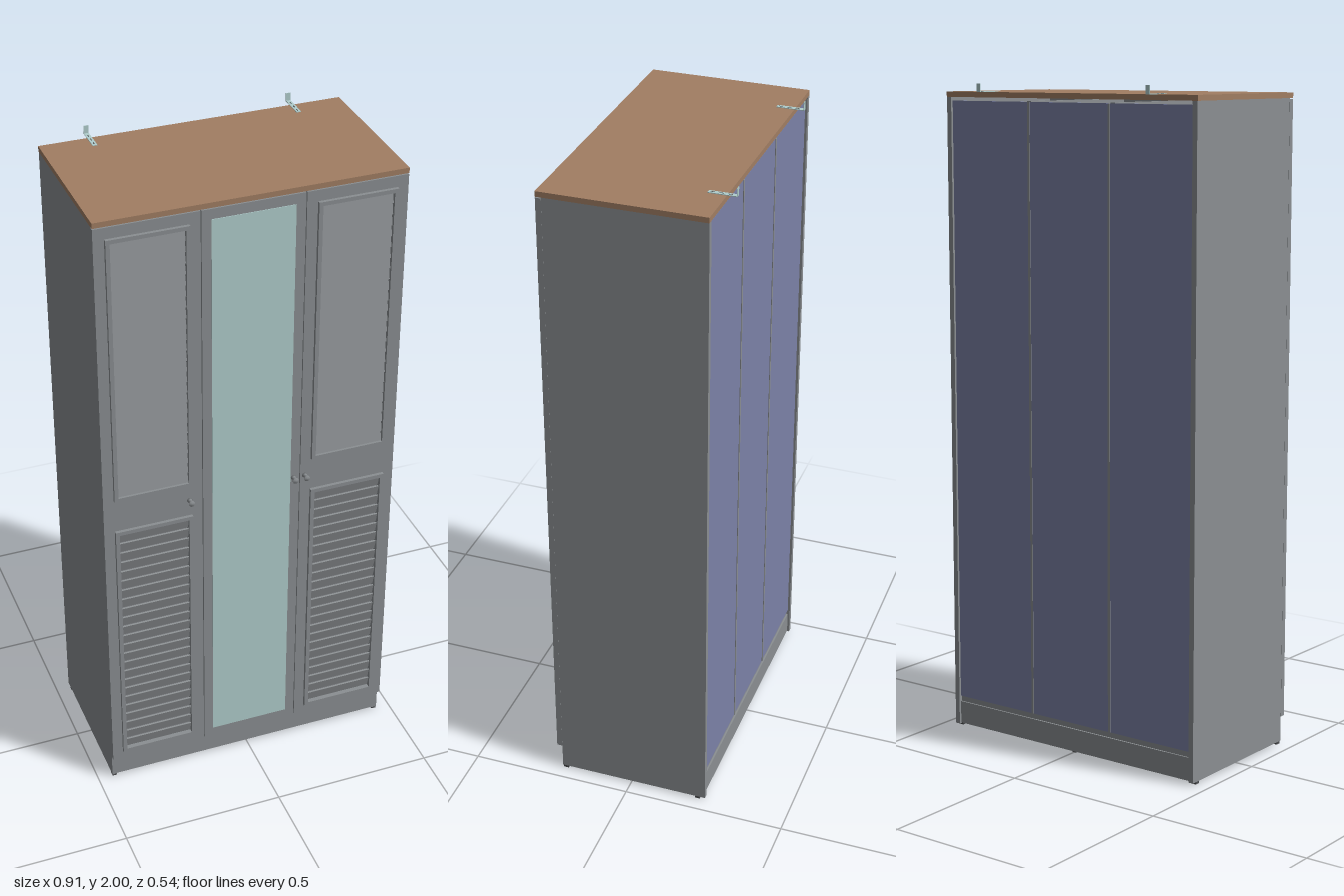
import * as THREE from 'three';

const mat = (name, color, extra = {}) => {
  const m = new THREE.MeshStandardMaterial({ color, ...extra });
  m.name = name;
  return m;
};

export function createModel() {
  const grey = mat('grey paint', 0x8b8f92);
  const brown = mat('brown wood', 0xa17e63);
  const mirror = mat('pale mirror', 0xb0cdcc);
  const blue = mat('blue back board', 0x7c82a8);
  const dark = mat('dark plastic', 0x4a4c4e);

  const root = new THREE.Group();
  root.name = 'wardrobe';

  const add = (name, geo, material, parent = root) => {
    const m = new THREE.Mesh(geo, material);
    m.name = name;
    parent.add(m);
    return m;
  };
  // Box given by its lower and upper limits on each axis
  const box = (name, material, x0, x1, y0, y1, z0, z1, parent = root) => {
    const m = add(name, new THREE.BoxGeometry(x1 - x0, y1 - y0, z1 - z0), material, parent);
    m.position.set((x0 + x1) / 2, (y0 + y1) / 2, (z0 + z1) / 2);
    return m;
  };
  // Rectangle with rectangular holes, extruded along z
  const rect = (Type, x0, x1, y0, y1) => {
    const p = new Type();
    p.moveTo(x0, y0).lineTo(x1, y0).lineTo(x1, y1).lineTo(x0, y1).closePath();
    return p;
  };
  const panel = (name, outer, holes, z0, z1, parent) => {
    const s = rect(THREE.Shape, ...outer);
    s.holes = holes.map(h => rect(THREE.Path, ...h));
    const geo = new THREE.ExtrudeGeometry(s, { depth: z1 - z0, bevelEnabled: false });
    const m = add(name, geo, grey, parent);
    m.position.z = z0;
    return m;
  };

  // Carcass
  for (const s of [-1, 1]) {
    const x = s * 0.447;
    box('sidePanel', grey, x - 0.008, x + 0.008, 0.008, 1.959, -0.242, 0.228);
    box('innerDivider', grey, s * 0.152 - 0.008, s * 0.152 + 0.008, 0.095, 1.95, -0.225, 0.226);
  }
  box('topPanel', brown, -0.456, 0.456, 1.959, 1.975, -0.242, 0.245);
  box('bottomPanel', grey, -0.439, 0.439, 0.08, 0.096, -0.23, 0.228);

  // Back boards and their joining strips
  for (const i of [-1, 0, 1]) {
    const c = i * 0.293;
    box('backBoard', blue, c - 0.146, c + 0.146, 0.098, 1.948, -0.235, -0.229);
  }
  for (const s of [-1, 1])
    box('backJoiningStrip', grey, s * 0.1465 - 0.004, s * 0.1465 + 0.004, 0.098, 1.948, -0.237, -0.229);

  // Plinth rails, middle strut and feet
  box('frontPlinth', grey, -0.439, 0.439, 0.01, 0.08, 0.212, 0.228);
  box('backPlinth', grey, -0.439, 0.439, 0.01, 0.08, -0.235, -0.219);
  box('middleStrut', grey, -0.008, 0.008, 0.01, 0.08, -0.219, 0.212);
  for (const sz of [-1, 1]) {
    for (const sx of [-1, 1]) {
      box('cornerBracket', dark, sx * 0.413 - 0.026, sx * 0.413 + 0.026, 0.004, 0.01,
        sz * 0.178 - 0.034, sz * 0.178 + 0.034);
      box('cornerGlide', dark, sx * 0.447 - 0.007, sx * 0.447 + 0.007, 0, 0.008,
        sz * 0.217 - 0.008, sz * 0.217 + 0.008);
      // Fixing caps on the strut
      const cap = add('fixingCap', new THREE.CylinderGeometry(0.007, 0.007, 0.002, 12), dark);
      cap.rotation.z = Math.PI / 2;
      cap.position.set(sx * 0.009, 0.045, sz * 0.17);
    }
    box('middleGlide', dark, -0.007, 0.007, 0, 0.01, sz * 0.21 - 0.008, sz * 0.21 + 0.008);
  }

  // Louvred outer doors
  const openings = [[0.115, 0.967, 1], [1.075, 1.922, -1]];
  for (const s of [-1, 1]) {
    const door = new THREE.Group();
    door.name = s < 0 ? 'rightLouvredDoor' : 'leftLouvredDoor';
    root.add(door);
    const x0 = -0.119, x1 = 0.119, t = 0.012;
    door.position.x = s * 0.3045;
    const holes = openings.map(([a, b]) => [x0 + t, x1 - t, a + t, b - t]);
    panel('doorLeaf', [-0.151, 0.151, 0.085, 1.956], holes, 0.228, 0.245, door);
    openings.forEach(([a, b, dir], i) => {
      panel('louvreFrame', [x0, x1, a, b], [holes[i]], 0.245, 0.255, door);
      box('louvreBacking', grey, x0 + t, x1 - t, a + t, b - t, 0.228, 0.232, door);
      const n = 24, pitch = (b - a - 2 * t) / n;
      for (let k = 0; k < n; k++) {
        const slat = add('slat', new THREE.BoxGeometry(x1 - x0 - 2 * t, pitch * 1.02, 0.005), grey, door);
        slat.position.set(0, a + t + (k + 0.5) * pitch, 0.242);
        slat.rotation.x = dir * 0.24;
      }
    });
  }

  // Mirror door
  box('mirrorDoorLeaf', grey, -0.151, 0.151, 0.085, 1.956, 0.228, 0.245);
  box('mirrorGlass', mirror, -0.123, 0.122, 0.115, 1.925, 0.245, 0.247);

  // Door knobs
  const knobPoints = [[0, 0], [0.008, 0], [0.006, 0.006], [0.0065, 0.011], [0.009, 0.017], [0.009, 0.021], [0, 0.022]];
  const knobGeo = new THREE.LatheGeometry(knobPoints.map(p => new THREE.Vector2(...p)), 20);
  for (const x of [-0.193, 0.132, 0.168]) {
    const knob = add('knob', knobGeo, grey);
    knob.rotation.x = Math.PI / 2;
    knob.position.set(x, 1.02, 0.245);
  }

  // Wall brackets on the top
  for (const s of [-1, 1]) {
    const g = new THREE.Group();
    g.name = 'wallBracket';
    g.position.x = s * 0.307;
    root.add(g);
    box('bracketPlate', mirror, -0.007, 0.007, 1.975, 1.977, -0.271, -0.188, g);
    box('bracketUpright', mirror, -0.007, 0.007, 1.975, 2.0, -0.271, -0.269, g);
    for (const z of [-0.25, -0.225, -0.2])
      box('bracketSlot', dark, -0.0012, 0.0012, 1.977, 1.9775, z - 0.006, z + 0.006, g);
  }

  return root;
}
